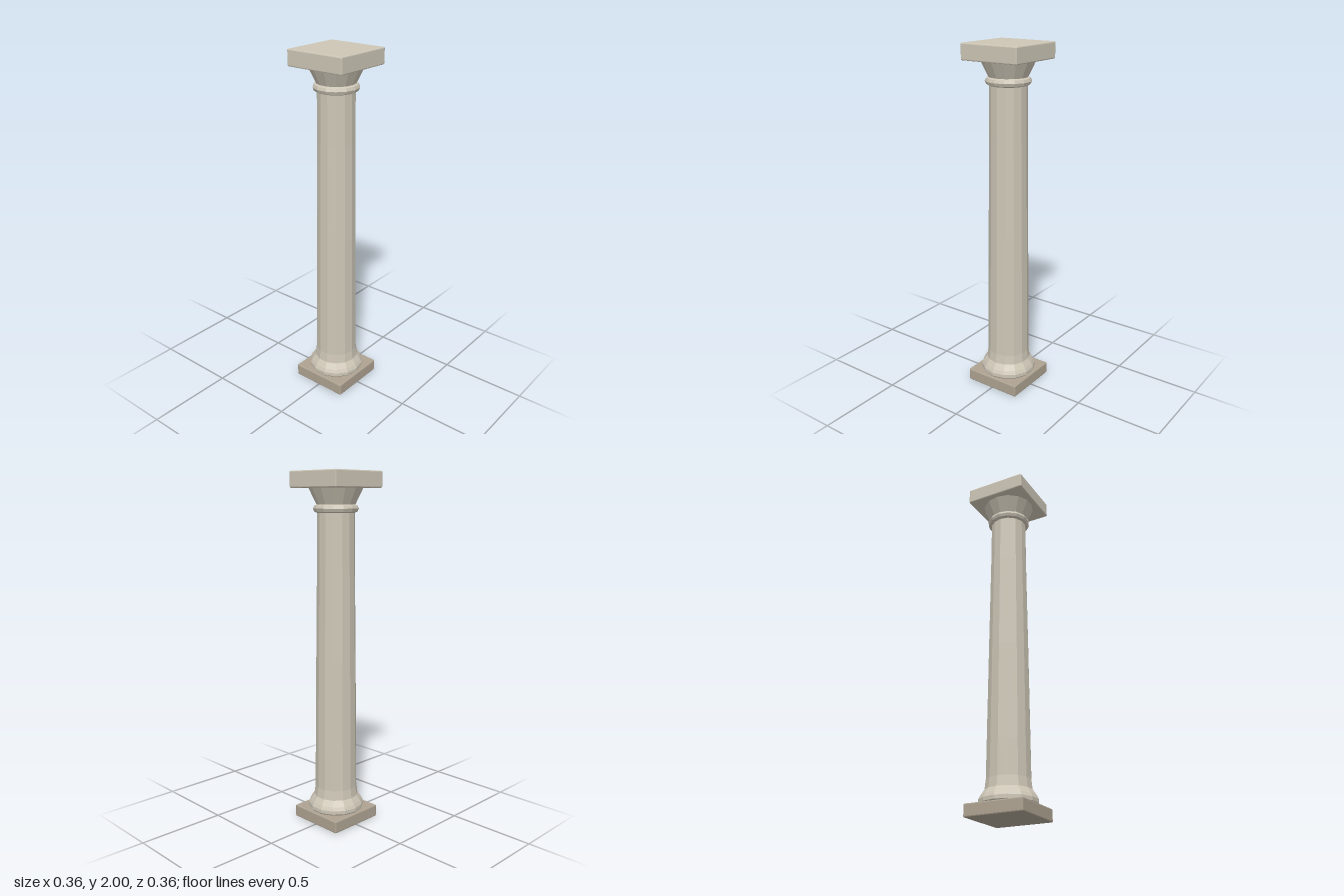
import * as THREE from 'three';
import { RoundedBoxGeometry } from 'three/addons/geometries/RoundedBoxGeometry.js';

const SIDES = 14;

export function createModel() {
  const column = new THREE.Group();
  column.name = 'column';

  const stone = new THREE.MeshStandardMaterial({ color: 0xcdc6b6, flatShading: true });
  stone.name = 'pale stone';
  const darkStone = new THREE.MeshStandardMaterial({ color: 0xaea392, flatShading: true });
  darkStone.name = 'dark stone';

  const add = (name, geometry, material, y = 0) => {
    const mesh = new THREE.Mesh(geometry, material);
    mesh.name = name;
    mesh.position.y = y;
    column.add(mesh);
    return mesh;
  };

  // Square slab with a narrow chamfer, placed by its bottom and top
  const slab = (name, width, bottom, top, material) =>
    add(name, new RoundedBoxGeometry(width, top - bottom, width, 1, 0.006), material, (bottom + top) / 2);

  // Faceted turned part from [radius, height] points, with corners on the x axis
  const turned = (name, profile) => {
    const points = profile.map(([r, y]) => new THREE.Vector2(r, y));
    return add(name, new THREE.LatheGeometry(points, SIDES, Math.PI / 2), stone);
  };

  slab('plinth', 0.34, 0, 0.07, darkStone);

  // Base moulding: upright foot, then a slope up to the shaft
  turned('baseMoulding', [[0, 0.068], [0.152, 0.068], [0.16, 0.078], [0.16, 0.098], [0.15, 0.118], [0.128, 0.15], [0, 0.15]]);

  // Tapering shaft with a small flare at the foot
  turned('shaft', [[0.128, 0.148], [0.121, 0.205], [0.119, 0.4], [0.113, 0.95], [0.106, 1.5], [0.104, 1.84]]);

  // Rounded neck ring
  const ring = new THREE.TorusGeometry(0.103, 0.023, 8, SIDES);
  ring.rotateX(Math.PI / 2);
  add('neckRing', ring, stone, 1.8);

  // Flared capital under the top slab
  turned('capital', [[0, 1.822], [0.107, 1.822], [0.151, 1.912], [0, 1.912]]);

  slab('abacus', 0.358, 1.91, 2, stone);

  return column;
}
